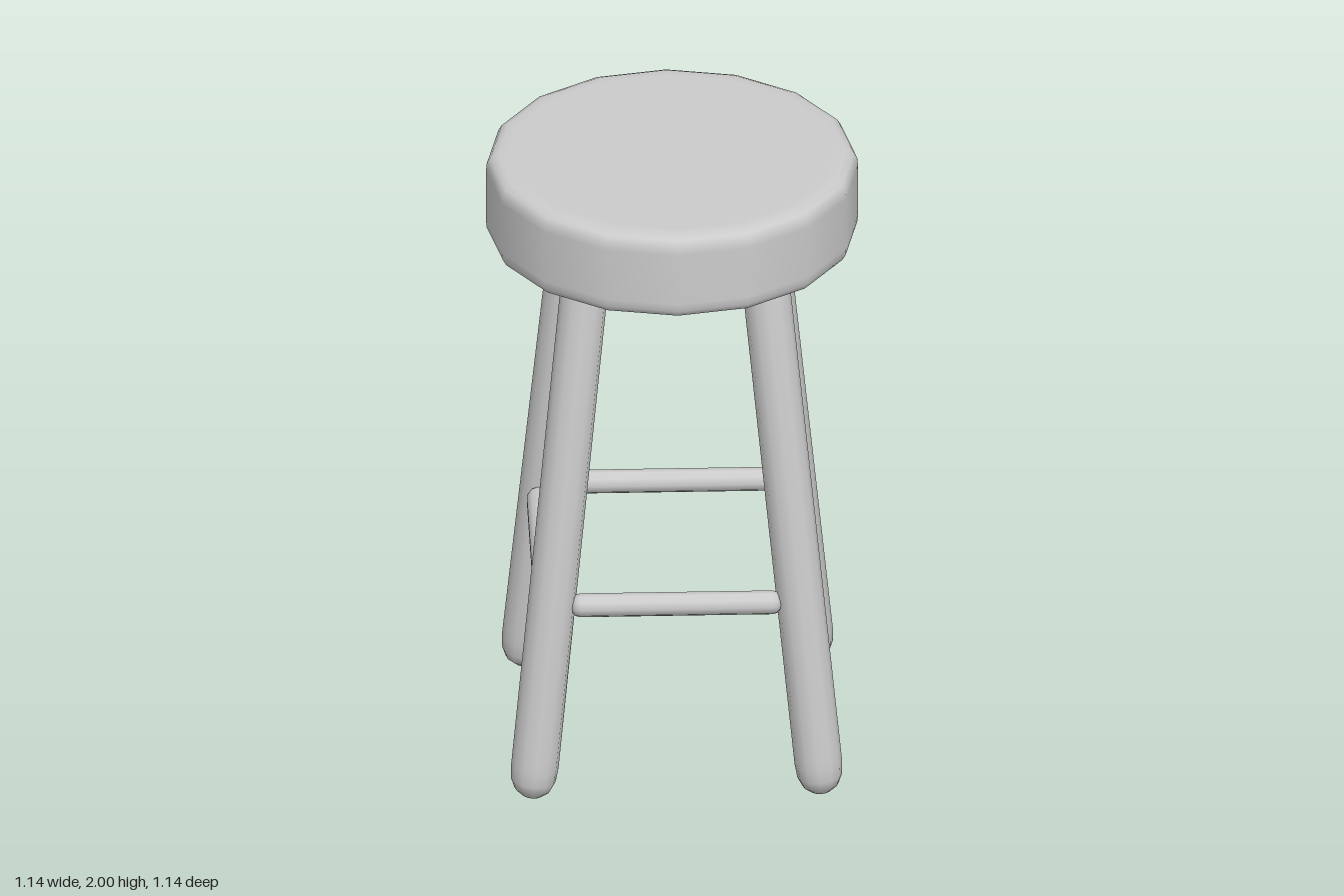
import * as THREE from 'three';

const material = new THREE.MeshStandardMaterial({ color: 0xcccccc });
const UP = new THREE.Vector3(0, 1, 0);

// Solid of revolution from [radius, height] pairs, listed bottom to top
function lathe(name, profile, sides) {
  const points = profile.map(([r, y]) => new THREE.Vector2(r, y));
  const mesh = new THREE.Mesh(new THREE.LatheGeometry(points, sides), material);
  mesh.name = name;
  return mesh;
}

// Round bar from a to b; profile(length) gives its outline along the axis
function bar(name, a, b, profile, sides) {
  const axis = b.clone().sub(a);
  const mesh = lathe(name, profile(axis.length()), sides);
  mesh.position.copy(a);
  mesh.quaternion.setFromUnitVectors(UP, axis.normalize());
  return mesh;
}

const legProfile = (length) => [
  [0, 0], [0.03, 0.004], [0.056, 0.025], [0.069, 0.055], [0.073, 0.1],
  [0.073, 0.14], [0.073, length], [0, length],
];

const rungProfile = (length) => [
  [0, 0], [0.02, 0.003], [0.033, 0.014], [0.037, 0.028], [0.037, 0.05],
  [0.037, length - 0.05], [0.037, length - 0.028], [0.033, length - 0.014],
  [0.02, length - 0.003], [0, length],
];

export function createModel() {
  const stool = new THREE.Group();
  stool.name = 'stool';

  // Thick seat with sixteen sides and softened rims
  stool.add(lathe('seat', [
    [0, 1.72], [0.5, 1.72], [0.535, 1.721], [0.557, 1.731], [0.568, 1.75], [0.57, 1.775],
    [0.57, 1.945], [0.568, 1.97], [0.557, 1.989], [0.535, 1.999], [0.5, 2], [0, 2],
  ], 16));

  // Four splayed legs with rounded feet
  for (const sx of [-1, 1]) {
    for (const sz of [-1, 1]) {
      const name = (sz > 0 ? 'front' : 'back') + (sx > 0 ? 'Left' : 'Right') + 'Leg';
      const foot = new THREE.Vector3(sx * 0.444, 0.003, sz * 0.433);
      const top = new THREE.Vector3(sx * 0.27, 1.78, sz * 0.29);
      stool.add(bar(name, foot, top, legProfile, 12));
    }
  }

  // Four rungs running just outside the leg centres
  const y = 0.645, reach = 0.323, offset = 0.4;
  for (const s of [-1, 1]) {
    stool.add(bar(s > 0 ? 'frontRung' : 'backRung',
      new THREE.Vector3(-reach, y, s * offset),
      new THREE.Vector3(reach, y, s * offset), rungProfile, 10));
    stool.add(bar(s > 0 ? 'leftRung' : 'rightRung',
      new THREE.Vector3(s * offset, y, -reach),
      new THREE.Vector3(s * offset, y, reach), rungProfile, 10));
  }

  return stool;
}
